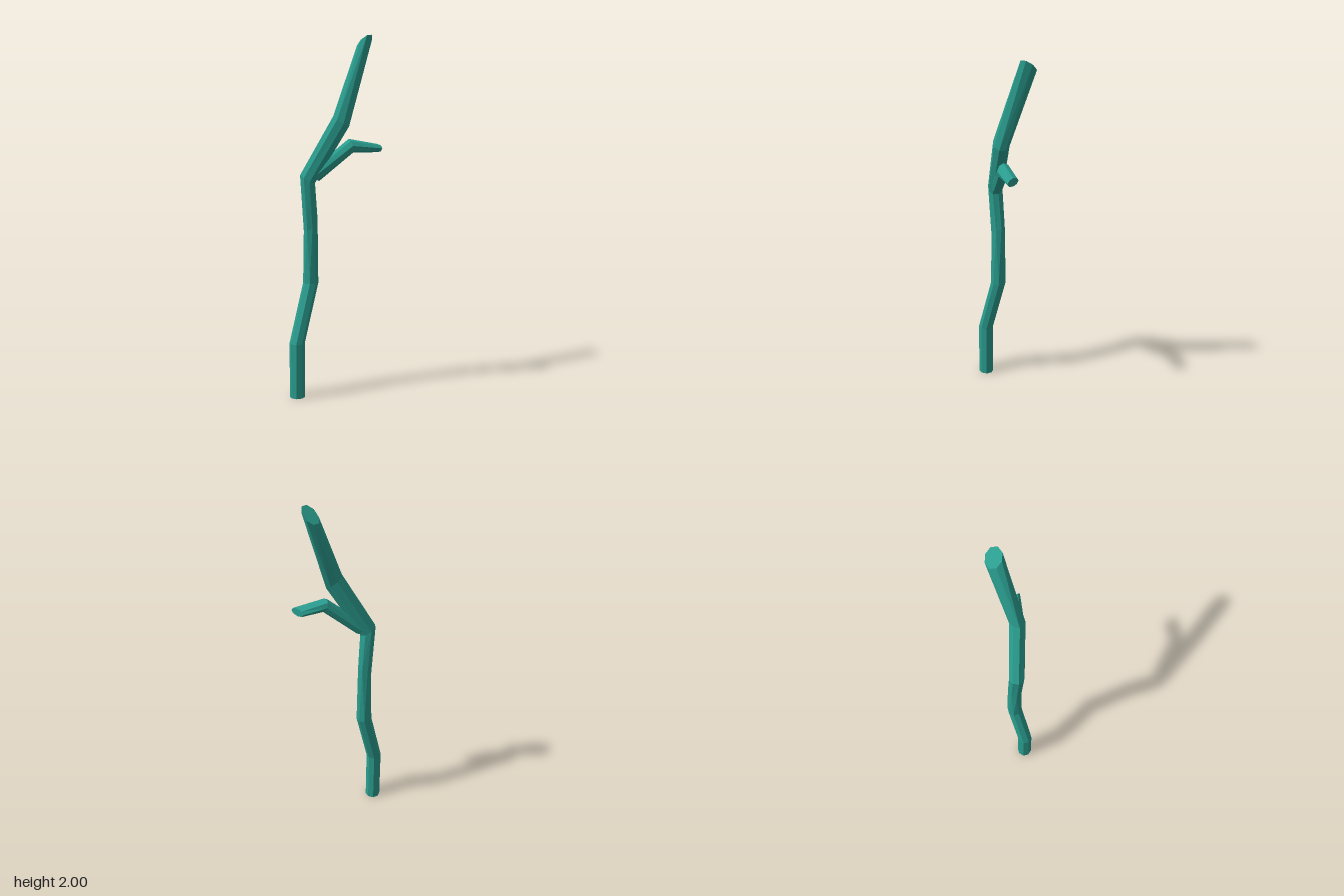
import * as THREE from 'three';

const SIDES = 8;
const material = new THREE.MeshStandardMaterial({ color: 0x2a9d8f, flatShading: true });

// Skin a stack of octagonal rings { c: centre, u, v: half axes, a: twist } and cap both ends.
function loft(name, rings) {
  const pos = [], idx = [];
  const last = rings.length - 1;
  for (const { c, u, v, a = 0 } of rings) {
    for (let j = 0; j < SIDES; j++) {
      const t = (j / SIDES) * Math.PI * 2 + a;
      for (let k = 0; k < 3; k++) pos.push(c[k] + u[k] * Math.cos(t) + v[k] * Math.sin(t));
    }
  }
  for (let i = 0; i < last; i++) {
    for (let j = 0; j < SIDES; j++) {
      const n = (j + 1) % SIDES;
      const p = i * SIDES + j, q = i * SIDES + n;
      idx.push(p, p + SIDES, q, q, p + SIDES, q + SIDES);
    }
  }
  const top = last * SIDES;
  for (let j = 1; j < SIDES - 1; j++) {
    idx.push(0, j, j + 1);
    idx.push(top, top + j + 1, top + j);
  }
  const indexed = new THREE.BufferGeometry();
  indexed.setAttribute('position', new THREE.Float32BufferAttribute(pos, 3));
  indexed.setIndex(idx);
  const geometry = indexed.toNonIndexed();
  geometry.computeVertexNormals();
  const mesh = new THREE.Mesh(geometry, material);
  mesh.name = name;
  return mesh;
}

// Trunk ring: centre, half widths in x and z, slope of the ring in x and z, twist.
const ring = (x, y, z, rx, rz, sx = 0, sz = 0, a = 0) => ({
  c: [x, y, z], u: [rx, sx * rx, 0], v: [0, sz * rz, rz], a,
});

export function createModel() {
  const group = new THREE.Group();
  group.name = 'bareBranch';
  const half = Math.PI / SIDES;

  // Crooked main stem, cut at a slant on top
  group.add(loft('stem', [
    ring(-0.2, 0, -0.11, 0.043, 0.042),
    ring(-0.2, 0.31, -0.11, 0.043, 0.042),
    ring(-0.1, 0.64, -0.11, 0.043, 0.042),
    ring(-0.1, 0.965, -0.108, 0.041, 0.037, 0.8, 0, half),
    ring(-0.121, 1.22, -0.108, 0.043, 0.042, -0.4, -0.45, half),
    ring(0.025, 1.535, 0.005, 0.047, 0.041, -0.45, -0.6, half),
    ring(0.199, 1.963, 0.002, 0.0465, 0.0415, 0.1, 0.95, half),
  ]));

  // Side twig: rises out of the stem's bend, then levels off to an upright cut
  group.add(loft('twig', [
    { c: [-0.09, 1.235, -0.088], u: [-0.02, 0, 0.025], v: [-0.02, 0.027, -0.016] },
    { c: [0.068, 1.402, 0.036], u: [-0.015, 0, 0.034], v: [-0.008, 0.037, -0.01] },
    { c: [0.197, 1.387, 0.107], u: [0, 0, 0.043], v: [0, 0.023, 0] },
  ]));

  return group;
}
